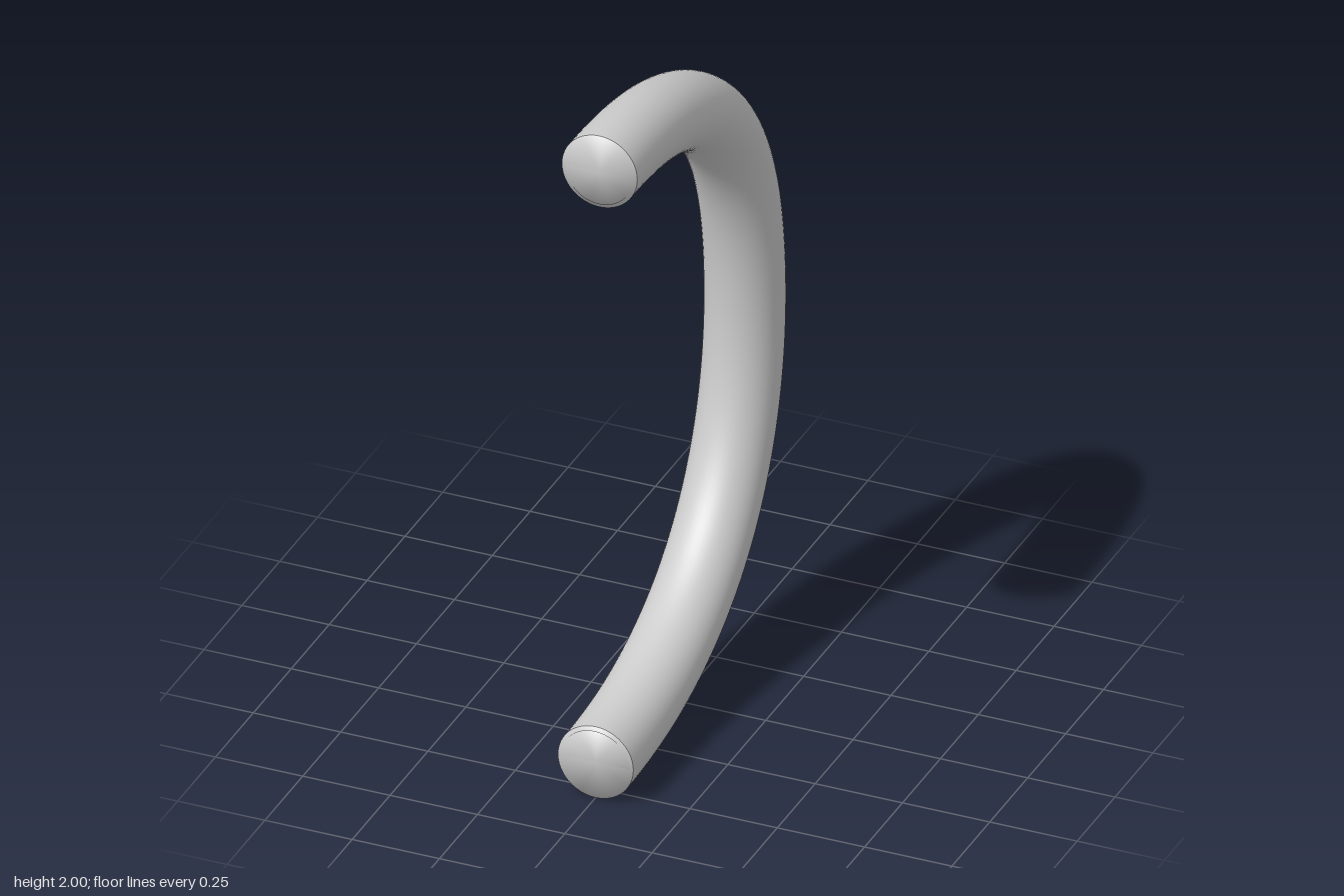
import * as THREE from 'three';

const R = 0.108;       // bar radius
const PLUG = 0.097;    // radius of the disc set in each end
const TILT = -0.05;    // lean of that disc, so half of it stands proud

const material = new THREE.MeshStandardMaterial({ color: 0xcccccc, side: THREE.DoubleSide });

function part(name, geometry) {
  const mesh = new THREE.Mesh(geometry, material);
  mesh.name = name;
  return mesh;
}

// Flat disc whose normals fan outwards, for a softly blended edge
function softDisc(radius) {
  const disc = new THREE.CircleGeometry(radius, 48);
  const { position, normal } = disc.attributes;
  const n = new THREE.Vector3();
  for (let i = 0; i < position.count; i++) {
    n.fromBufferAttribute(position, i).setZ(radius).normalize();
    normal.setXYZ(i, n.x, n.y, n.z);
  }
  return disc;
}

// End face: full cap with a slightly leaning smaller disc through it
function makeEnd(name, position) {
  const end = new THREE.Group();
  end.name = name;
  end.position.copy(position);
  const plug = part('plug', softDisc(PLUG));
  plug.rotation.x = TILT;
  end.add(part('cap', softDisc(R)), plug);
  return end;
}

export function createModel() {
  const model = new THREE.Group();
  model.name = 'curvedHandle';

  // Bowed bar: two curves meeting at the rearmost point, level at both ends
  const point = (y, z) => new THREE.Vector3(0, y, z);
  const top = point(2 - R, 0.52);
  const middle = point(1.01, -0.439);
  const bottom = point(R, 0.546);
  const path = new THREE.CurvePath();
  path.add(new THREE.CubicBezierCurve3(top, point(top.y, -0.19), point(1.51, middle.z), middle));
  path.add(new THREE.CubicBezierCurve3(middle, point(0.52, middle.z), point(bottom.y, -0.15), bottom));
  model.add(part('bar', new THREE.TubeGeometry(path, 96, R, 48, false)));

  // The two ends mirror each other
  const topEnd = makeEnd('topEnd', top);
  const bottomEnd = makeEnd('bottomEnd', bottom);
  bottomEnd.rotation.z = Math.PI;
  model.add(topEnd, bottomEnd);

  return model;
}
